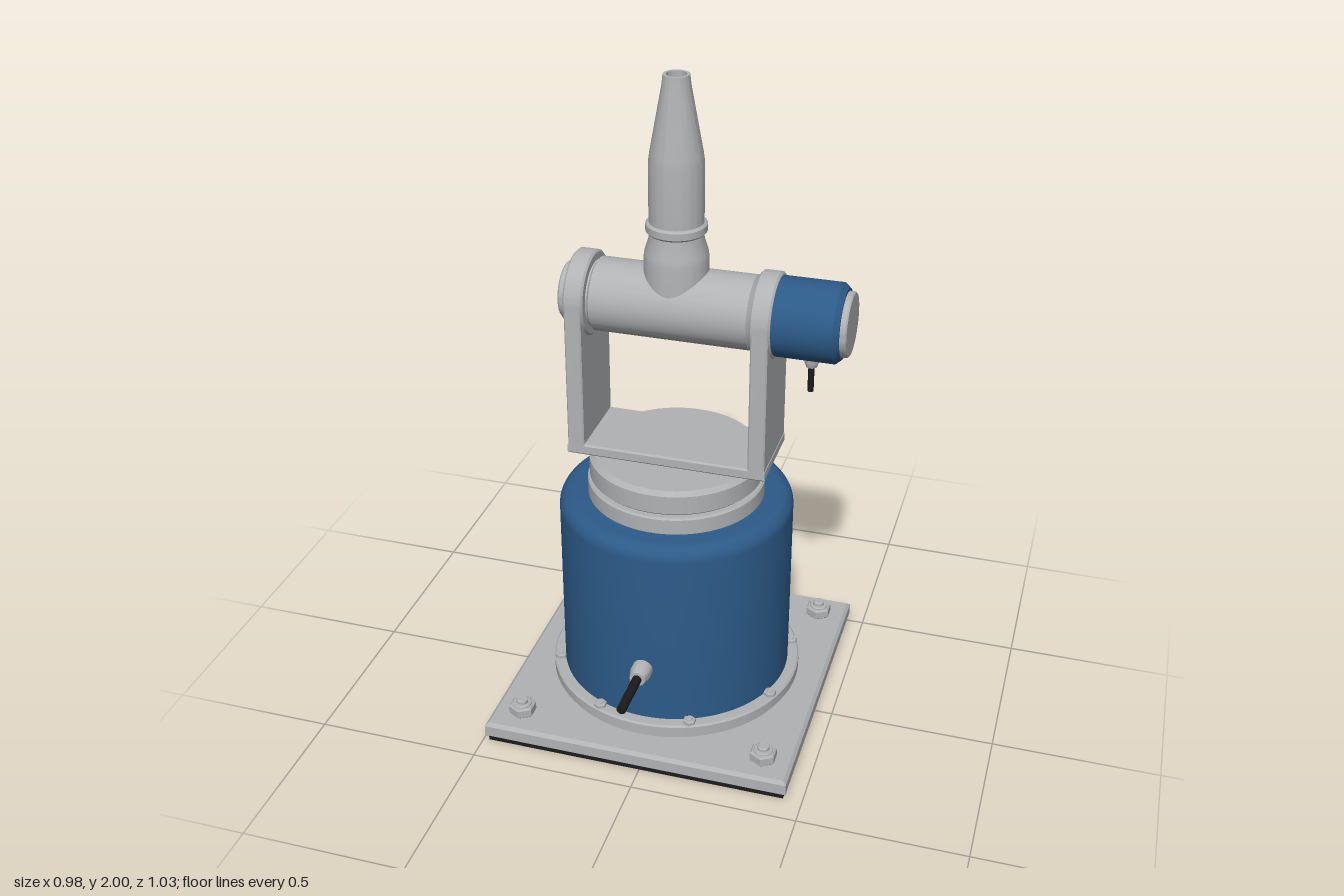
import * as THREE from 'three';
import { toCreasedNormals } from 'three/addons/utils/BufferGeometryUtils.js';

const mat = (name, color) => new THREE.MeshStandardMaterial({ name, color });

export function createModel() {
  const grey = mat('light grey metal', 0xb0b2b4);
  const blue = mat('blue paint', 0x2c5a88);
  const black = mat('black rubber', 0x1b1b1c);

  const model = new THREE.Group();
  model.name = 'swivelNozzleUnit';
  // everything is built around the turret axis, which sits slightly off centre
  const axis = new THREE.Group();
  axis.name = 'turretAxis';
  axis.position.set(-0.02, 0, -0.043);
  model.add(axis);

  const add = (name, geo, material, x = 0, y = 0, z = 0) => {
    const mesh = new THREE.Mesh(geo, material);
    mesh.name = name;
    mesh.position.set(x, y, z);
    axis.add(mesh);
    return mesh;
  };
  // turned part from [radius, height] points, bottom to top
  const turned = (pts, seg = 64) => toCreasedNormals(
    new THREE.LatheGeometry(pts.map(([r, h]) => new THREE.Vector2(r, h)), seg), 0.6);
  // closed disc with chamfered rims
  const disc = (r, h0, h1, c = 0.006, seg = 64) => turned(
    [[0, h0], [r - c, h0], [r, h0 + c], [r, h1 - c], [r - c, h1], [0, h1]], seg);
  // turned part lying along x
  const along = (geo) => geo.rotateZ(-Math.PI / 2);
  // extrusion from z = 0 to depth with bevels kept inside the outline
  const slab = (shape, depth, b) => toCreasedNormals(new THREE.ExtrudeGeometry(shape, {
    depth: depth - 2 * b, bevelEnabled: true, bevelThickness: b, bevelSize: b,
    bevelOffset: -b, bevelSegments: 1, curveSegments: 32,
  }).translate(0, 0, b), 0.5);
  const rect = (hx, hy) => new THREE.Shape([
    new THREE.Vector2(-hx, -hy), new THREE.Vector2(hx, -hy),
    new THREE.Vector2(hx, hy), new THREE.Vector2(-hx, hy)]);
  const flatSlab = (hx, hz, h, b) => slab(rect(hx, hz), h, b).rotateX(-Math.PI / 2);

  // base plate on a rubber pad
  add('rubberPad', new THREE.BoxGeometry(0.925, 0.014, 0.925), black, 0, 0.007, 0);
  add('basePlate', flatSlab(0.471, 0.471, 0.054, 0.01), grey, 0, 0.012, 0);

  // corner anchor nuts
  for (const sx of [-1, 1]) for (const sz of [-1, 1]) {
    const x = sx * 0.381, z = sz * 0.381;
    add('anchorNut', disc(0.042, 0.064, 0.098, 0.005, 6), grey, x, 0, z);
    add('anchorWasher', disc(0.029, 0.09, 0.104, 0.003, 24), grey, x, 0, z);
    add('anchorStud', disc(0.018, 0.09, 0.115, 0.003, 24), grey, x, 0, z);
  }

  // mounting flange with eight bolts
  add('flange', turned([[0, 0.06], [0.38, 0.06], [0.38, 0.077], [0.389, 0.08],
    [0.389, 0.109], [0.384, 0.114], [0, 0.114]], 96), grey);
  for (let i = 0; i < 8; i++) {
    const a = (i + 0.5) * Math.PI / 4;
    const x = 0.369 * Math.sin(a), z = 0.369 * Math.cos(a);
    add('flangeBolt', disc(0.02, 0.11, 0.126, 0.003, 6), grey, x, 0, z);
    add('flangeBoltTip', disc(0.009, 0.12, 0.131, 0.002, 16), grey, x, 0, z);
  }

  // blue drum with a rounded shoulder
  const drum = [[0, 0.112], [0.354, 0.112], [0.354, 0.675]];
  for (let i = 1; i <= 8; i++) {
    const a = i * Math.PI / 16;
    drum.push([0.309 + 0.045 * Math.cos(a), 0.675 + 0.045 * Math.sin(a)]);
  }
  drum.push([0, 0.72]);
  add('drumHousing', turned(drum, 96), blue);

  // turntable rings
  add('lowerRing', disc(0.267, 0.715, 0.772, 0.005, 96), grey);
  add('ringNeck', disc(0.235, 0.76, 0.79, 0.002), grey);
  add('turntable', turned([[0, 0.78], [0.256, 0.78], [0.261, 0.785], [0.261, 0.842],
    [0.248, 0.855], [0, 0.855]], 96), grey);

  // yoke: cross plate and two round-topped arms
  const Y = 1.332, R = 0.125;
  add('yokePlate', flatSlab(0.3, R, 0.034, 0.005), grey, 0, 0.858, 0);
  const armShape = new THREE.Shape();
  armShape.moveTo(-R, 0.885);
  armShape.lineTo(R, 0.885);
  armShape.lineTo(R, Y);
  armShape.absarc(0, Y, R, 0, Math.PI, false);
  armShape.closePath();
  for (const s of [-1, 1]) {
    const arm = slab(armShape, 0.05, 0.004).translate(0, 0, -0.025).rotateY(Math.PI / 2);
    add('yokeArm', arm, grey, s * 0.273, 0, 0);
    add('armBearing', along(disc(R, -0.03, 0.03, 0.006)), grey, s * 0.272, Y, 0);
  }

  // tilting tube between the arms
  add('tiltTube', along(turned([[0, -0.25], [0.098, -0.25], [0.098, -0.237], [0.108, -0.23],
    [0.108, 0.23], [0.098, 0.237], [0.098, 0.25], [0, 0.25]])), grey, 0, Y, 0);
  add('bearingCap', along(disc(0.086, -0.331, -0.29, 0.006)), grey, 0, Y, 0);

  // tilt motor on the model's left
  add('tiltMotor', along(turned([[0, 0.295], [0.115, 0.295], [0.115, 0.474], [0.101, 0.49],
    [0, 0.49]])), blue, 0, Y, 0);
  add('motorCap', along(disc(0.093, 0.48, 0.509, 0.004)), grey, 0, Y, 0);

  // nozzle: socket, collar and tapered barrel with an open tip
  add('nozzleSocket', turned([[0, 1.34], [0.093, 1.34], [0.093, 1.475], [0.09, 1.495],
    [0.079, 1.53], [0.077, 1.555], [0, 1.555]]), grey);
  add('nozzleCollar', disc(0.087, 1.551, 1.583, 0.006), grey);
  add('nozzleBarrel', turned([[0, 1.575], [0.078, 1.575], [0.078, 1.755], [0.074, 1.785],
    [0.04, 1.972], [0.037, 2], [0.028, 2], [0.028, 1.95], [0, 1.95]]), grey);

  // cable gland with its cable, built along +y then turned
  const cable = (name, r, cr, len, glandLen) => {
    const g = new THREE.Group();
    g.name = name;
    const gland = new THREE.Mesh(turned([[0, -0.015], [r, -0.015], [r, glandLen * 0.55],
      [r * 0.75, glandLen], [0, glandLen]], 24), grey);
    gland.name = 'cableGland';
    const wire = new THREE.Mesh(disc(cr, 0, len, 0.001, 20), black);
    wire.name = 'cable';
    g.add(gland, wire);
    axis.add(g);
    return g;
  };
  const power = cable('powerCable', 0.031, 0.014, 0.204, 0.055);
  power.position.set(0, 0.294, 0.353);
  power.rotation.x = Math.PI / 2;
  const motorLead = cable('motorCable', 0.021, 0.009, 0.112, 0.033);
  motorLead.position.set(0.398, 1.22, 0);
  motorLead.rotation.x = Math.PI;

  return model;
}
